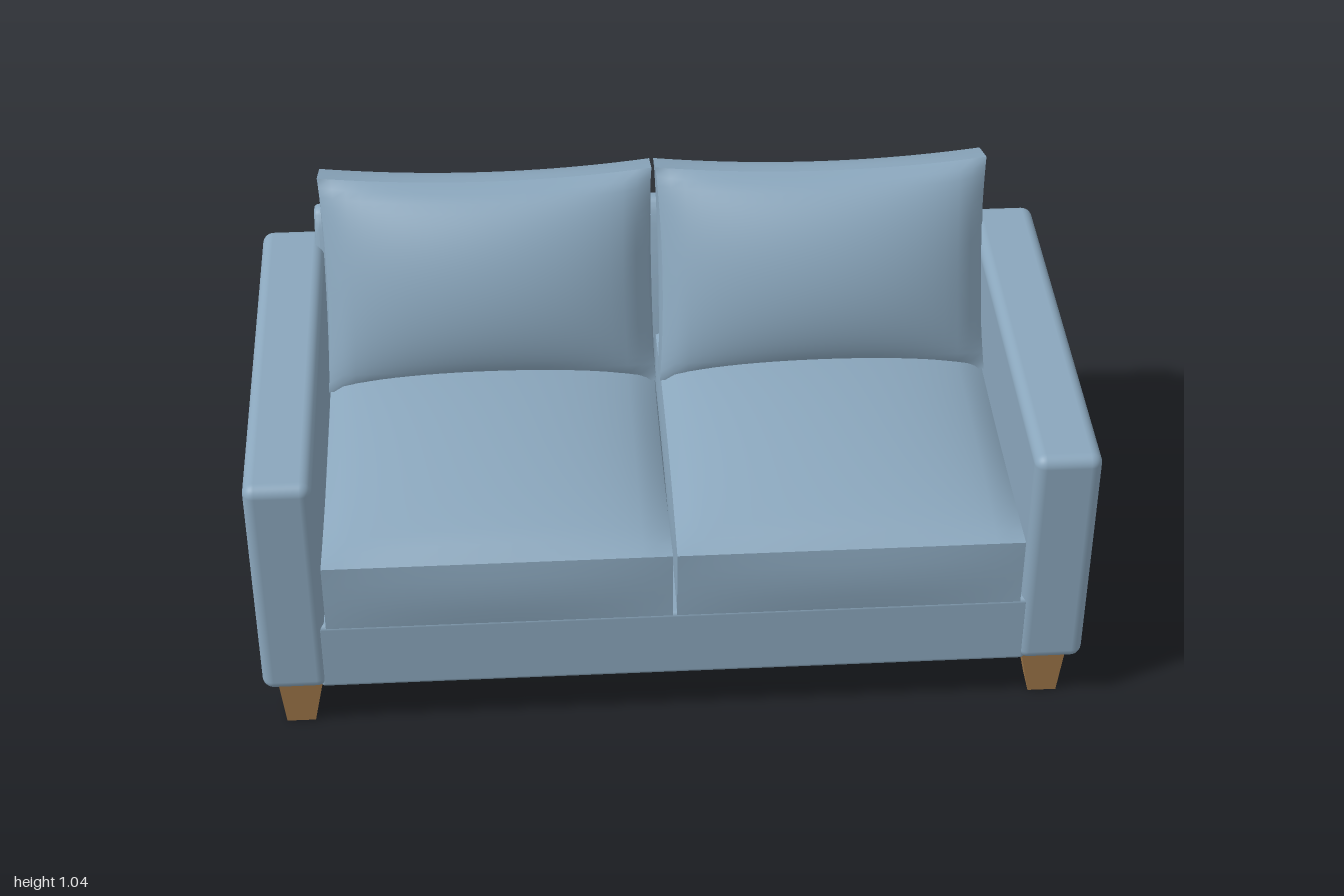
import * as THREE from 'three';
import { toCreasedNormals } from 'three/addons/utils/BufferGeometryUtils.js';
import { RoundedBoxGeometry } from 'three/addons/geometries/RoundedBoxGeometry.js';

const fabric = new THREE.MeshStandardMaterial({ name: 'blue fabric', color: 0x8aa6bc });
const wood = new THREE.MeshStandardMaterial({ name: 'oak wood', color: 0xa0784a });

function add(parent, name, geometry, material, x = 0, y = 0, z = 0) {
  const mesh = new THREE.Mesh(geometry, material);
  mesh.name = name;
  mesh.position.set(x, y, z);
  parent.add(mesh);
  return mesh;
}

// Stuffed box cushion: large faces (+z and -z) swell, edges pull in between the corners
function cushionGeometry(w, h, d, swellFront, swellBack, pinchX, pinchY) {
  const g = new THREE.BoxGeometry(w, h, d, 24, 24, 4);
  const p = g.attributes.position;
  for (let i = 0; i < p.count; i++) {
    const u = p.getX(i) / (w / 2), v = p.getY(i) / (h / 2), t = p.getZ(i) / (d / 2);
    const fu = Math.max(0, 1 - u * u), fv = Math.max(0, 1 - v * v);
    const swell = Math.pow(fu * fv, 0.6);
    const belly = 0.008 * (1 - t * t); // narrow sides round out slightly
    p.setXYZ(i,
      u * (w / 2 - pinchX * fv + belly * fv),
      v * (h / 2 - pinchY * fu + belly * fu),
      t * d / 2 + (t > 0 ? swellFront : -swellBack) * swell * Math.abs(t));
  }
  g.computeVertexNormals();
  return g;
}

// Leg tapering mostly on its inner sides; x and z grow outward
function legGeometry(sx, sz) {
  const g = new THREE.BoxGeometry(0.11, 0.14, 0.11);
  const p = g.attributes.position;
  for (let i = 0; i < p.count; i++) {
    if (p.getY(i) > 0) continue;
    p.setX(i, p.getX(i) * sx > 0 ? 0.043 * sx : -0.027 * sx);
    p.setZ(i, p.getZ(i) * sz > 0 ? 0.045 * sz : -0.025 * sz);
  }
  g.computeVertexNormals();
  return g;
}

export function createModel() {
  const sofa = new THREE.Group();
  sofa.name = 'sofa';

  // Base frame
  add(sofa, 'base', new RoundedBoxGeometry(1.72, 0.195, 1.066, 3, 0.012), fabric, 0, 0.2325, 0);

  // Backrest panel with a rounded, leaning top
  const s = new THREE.Shape();
  s.moveTo(-0.538, 0.14);
  s.lineTo(-0.34, 0.14);
  s.lineTo(-0.34, 0.46);
  s.lineTo(-0.458, 0.77);
  s.quadraticCurveTo(-0.482, 0.838, -0.505, 0.843);
  s.quadraticCurveTo(-0.538, 0.848, -0.538, 0.815);
  s.closePath();
  const back = new THREE.ExtrudeGeometry(s, {
    depth: 1.7, curveSegments: 8, bevelThickness: 0.012, bevelSize: 0.012, bevelOffset: -0.012, bevelSegments: 3,
  });
  back.rotateY(-Math.PI / 2).translate(0.85, 0, 0);
  add(sofa, 'backrest', toCreasedNormals(back, 0.7), fabric);

  const seat = cushionGeometry(0.83, 0.965, 0.185, 0.085, 0, 0.004, 0.0);
  seat.rotateX(-Math.PI / 2);
  const pillow = cushionGeometry(0.83, 0.554, 0.11, 0.122, 0.075, 0.012, 0.022);

  for (const side of [-1, 1]) {
    const label = side > 0 ? 'left' : 'right';
    add(sofa, label + 'Arm', new RoundedBoxGeometry(0.16, 0.625, 1.08, 4, 0.028), fabric, side * 0.92, 0.4475, 0);
    add(sofa, label + 'SeatCushion', seat, fabric, side * 0.42, 0.4175, 0.052);
    add(sofa, label + 'BackCushion', pillow, fabric, side * 0.42, 0.7575, -0.2975).rotation.x = -0.35;
    for (const end of [-1, 1]) {
      add(sofa, label + (end > 0 ? 'FrontLeg' : 'BackLeg'), legGeometry(side, end), wood,
        side * 0.91, 0.07, end * 0.455);
    }
  }
  return sofa;
}
